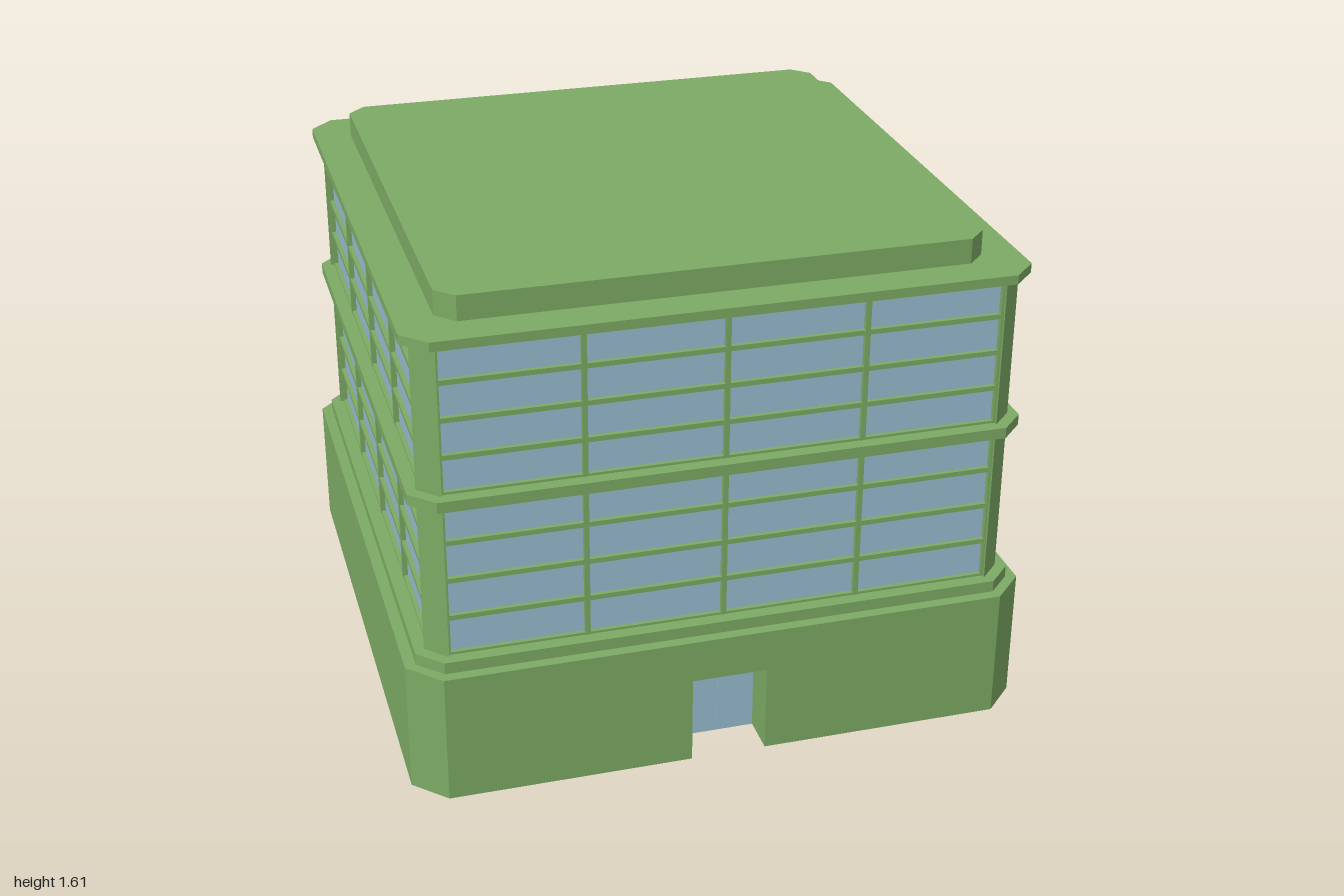
import * as THREE from 'three';

const green = new THREE.MeshStandardMaterial({ color: 0x7caa64 });
green.name = 'green wall';
const blue = new THREE.MeshStandardMaterial({ color: 0x98bbce });
blue.name = 'blue glass';

// Corners of a square plan with cut corners
function plan(h, c) {
  const k = h - c;
  return [[k, -h], [h, -k], [h, k], [k, h], [-k, h], [-h, k], [-h, -k], [-k, -h]]
    .map(([x, y]) => new THREE.Vector2(x, y));
}

// Extrude a plan upward from y0 to y1
function rise(name, points, y0, y1, hole) {
  const shape = new THREE.Shape(points);
  if (hole) shape.holes.push(new THREE.Path(hole));
  const geo = new THREE.ExtrudeGeometry(shape, { depth: y1 - y0, bevelEnabled: false });
  geo.rotateX(-Math.PI / 2).translate(0, y0, 0);
  const mesh = new THREE.Mesh(geo, green);
  mesh.name = name;
  return mesh;
}

function box(name, mat, w, h, d, x, y, z) {
  const mesh = new THREE.Mesh(new THREE.BoxGeometry(w, h, d), mat);
  mesh.position.set(x, y, z);
  mesh.name = name;
  return mesh;
}

// One storey: four glazed sides and four corner posts
function storey(name, y0, y1) {
  const group = new THREE.Group();
  group.name = name;
  const mid = (y0 + y1) / 2, tall = y1 - y0, half = 0.865, bar = 0.016;
  for (let s = 0; s < 4; s++) {
    const side = new THREE.Group();
    side.name = 'windowWall';
    side.add(box('glass', blue, 2 * half, tall, 0.008, 0, mid, 0.9));
    for (let i = 0; i <= 4; i++) {
      const t = i / 4;
      side.add(box('mullion', green, bar, tall, 0.04, (2 * t - 1) * half, mid, 0.9));
      side.add(box('transom', green, 2 * half, bar, 0.036, 0, y0 + tall * t, 0.9));
    }
    const post = [[0.865, -0.93], [0.93, -0.865], [0.88, -0.865], [0.865, -0.88]]
      .map(([x, y]) => new THREE.Vector2(x, y));
    side.add(rise('cornerPost', post, y0, y1));
    side.rotation.y = s * Math.PI / 2;
    group.add(side);
  }
  return group;
}

export function createModel() {
  const model = new THREE.Group();
  model.name = 'officeBlock';

  // Hollow base wall, with a gap for the doorway
  const R = 0.995, C = 0.1, r = 0.935, c = 0.08, door = 0.12, doorTop = 0.29;
  const outer = plan(R, C), inner = plan(r, c);
  const v = (x, y) => new THREE.Vector2(x, y);
  const open = [v(door, -R), ...outer, v(-door, -R), v(-door, -r), ...inner.slice().reverse(), v(door, -r)];
  model.add(rise('baseWall', open, 0, doorTop));
  model.add(rise('baseWallTop', outer, doorTop, 0.43, inner));

  // Recessed entrance
  const entrance = new THREE.Group();
  entrance.name = 'entrance';
  for (const s of [-1, 1]) {
    entrance.add(box('doorJamb', green, 0.008, doorTop, 0.08, s * (door + 0.004), doorTop / 2, 0.895));
    entrance.add(box('doorLeaf', blue, door - 0.001, doorTop, 0.008, s * door / 2, doorTop / 2, 0.862));
  }
  entrance.add(box('doorHead', green, 2 * door + 0.016, 0.008, 0.08, 0, doorTop + 0.004, 0.895));
  model.add(entrance);

  // Ledges between storeys
  for (const [y0, y1] of [[0.43, 0.468], [0.98, 1.016]]) {
    model.add(rise('ledge', plan(0.96, 0.075), y0, y1, plan(0.86, 0.03)));
  }

  model.add(storey('lowerStorey', 0.468, 0.98));
  model.add(storey('upperStorey', 1.016, 1.495));

  // Roof slab and raised deck
  model.add(rise('roofSlab', plan(0.96, 0.075), 1.495, 1.525));
  model.add(rise('roofDeck', plan(0.84, 0.057), 1.525, 1.605));

  model.position.z = -0.004;
  return model;
}
